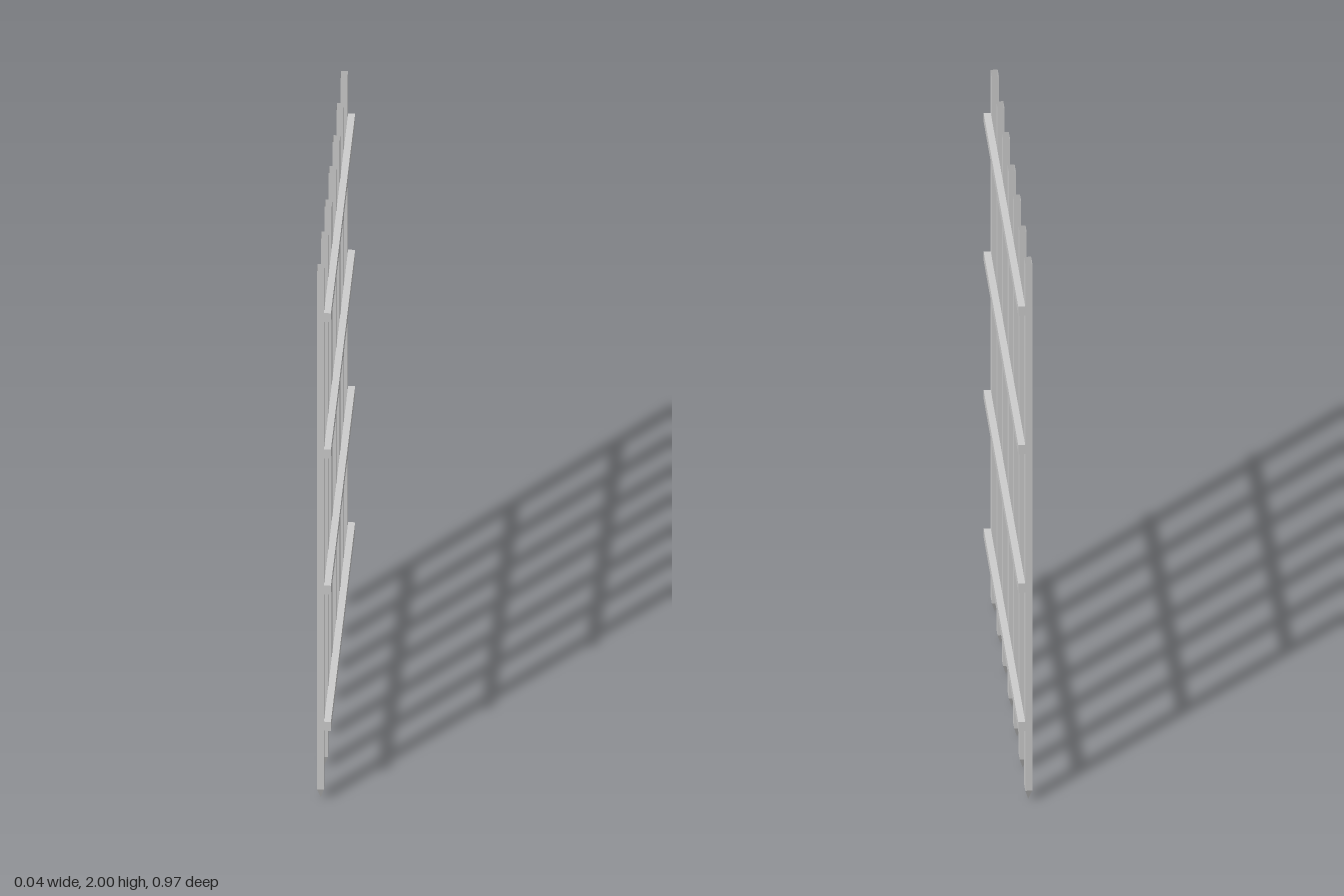
import * as THREE from 'three';

export function createModel() {
  const model = new THREE.Group();
  model.name = 'fencePanel';
  const railMaterial = new THREE.MeshStandardMaterial({ color: 0xcccccc, flatShading: true });
  const stakeMaterial = new THREE.MeshStandardMaterial({
    color: 0xcccccc, flatShading: true, side: THREE.DoubleSide,
  });

  const depth = 0.021;  // thickness of stakes and rails along x
  const width = 0.034;  // face width of stakes and rails

  // Square stake with a pyramid point at the bottom and an open top
  const r = Math.SQRT1_2;
  const profile = [[0, 0], [r, 0.042], [r, 2]].map(([x, y]) => new THREE.Vector2(x, y));
  const stakeGeometry = new THREE.LatheGeometry(profile, 4, Math.PI / 4)
    .scale(depth, 1, width).toNonIndexed();
  stakeGeometry.computeVertexNormals();

  // Seven upright stakes, the middle one slightly off centre
  [-0.47, -0.313, -0.157, -0.007, 0.156, 0.311, 0.47].forEach((z, i) => {
    const stake = new THREE.Mesh(stakeGeometry, stakeMaterial);
    stake.name = `stake${i + 1}`;
    stake.position.set(-depth / 2, 0, z);
    model.add(stake);
  });

  // Four cross rails on the left side of the stakes
  const railGeometry = new THREE.BoxGeometry(depth, width, 0.972);
  for (let i = 0; i < 4; i++) {
    const rail = new THREE.Mesh(railGeometry, railMaterial);
    rail.name = `rail${i + 1}`;
    rail.position.set(depth / 2, 0.281 + i * 0.5145, 0);
    model.add(rail);
  }

  return model;
}
